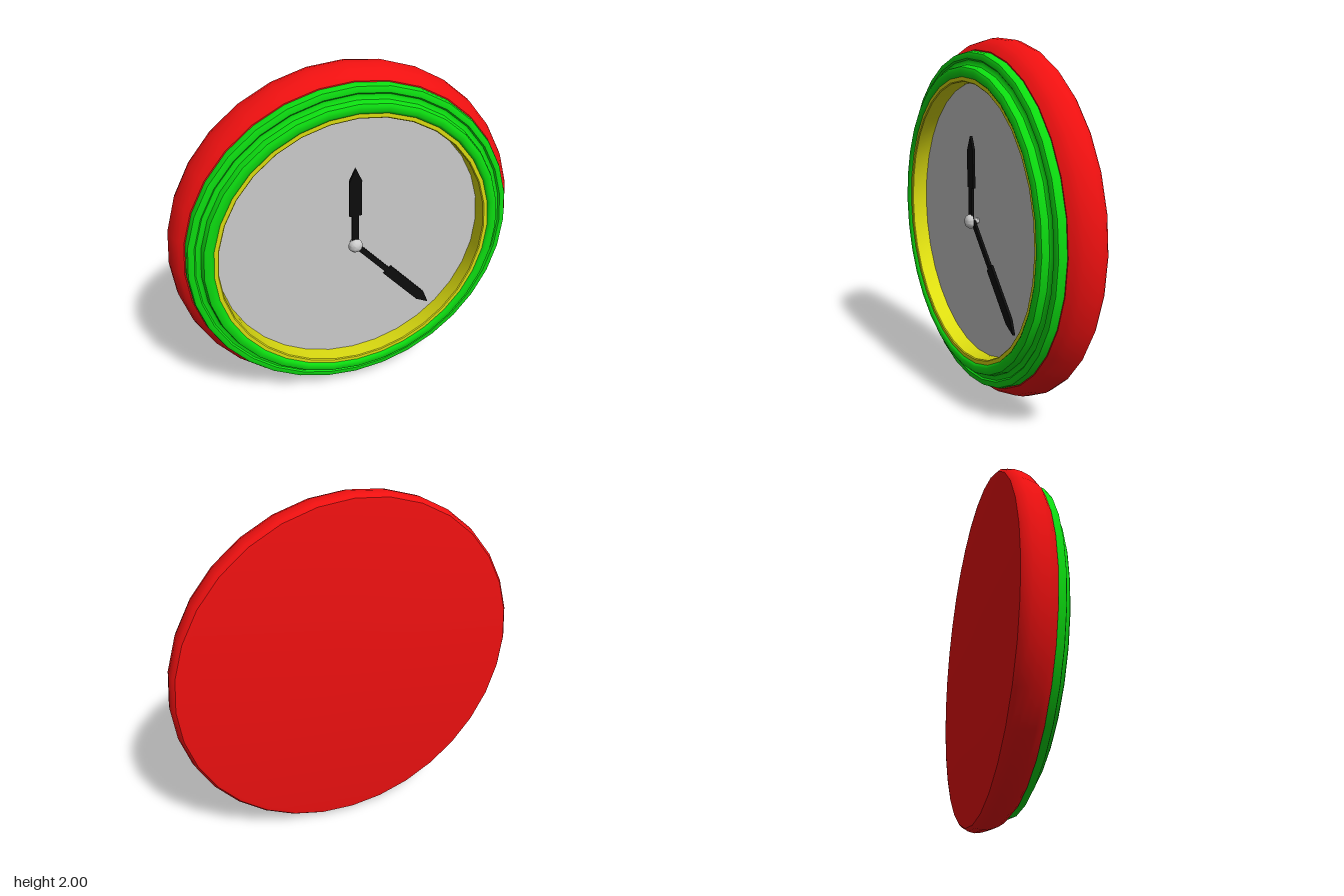
import * as THREE from 'three';
import { toCreasedNormals } from 'three/addons/utils/BufferGeometryUtils.js';

const SEGMENTS = 32;
const material = (color) => new THREE.MeshStandardMaterial({ color, side: THREE.DoubleSide });
const red = material(0xee1010);
const green = material(0x0cdd10);
const yellow = material(0xdddd10);
const black = material(0x0c0c0c);
const grey = material(0xcccccc);

// Turned part about the z axis, from [radius, z] pairs running back to front
function turned(name, profile, mat, crease = 0.6) {
  const points = profile.map(([r, z]) => new THREE.Vector2(r, z));
  const geometry = new THREE.LatheGeometry(points, SEGMENTS).rotateX(Math.PI / 2);
  const mesh = new THREE.Mesh(toCreasedNormals(geometry, crease), mat);
  mesh.name = name;
  return mesh;
}

// Clock hand: thin stem, wider blade and a pointed tip, aimed along +y
function hand(name, bladeStart, bladeEnd, tip, stemHalf, bladeHalf, z) {
  const right = [[stemHalf, 0], [stemHalf, bladeStart], [bladeHalf, bladeStart], [bladeHalf, bladeEnd]];
  const left = right.map(([x, y]) => [-x, y]).reverse();
  const shape = new THREE.Shape([...right, [0, tip], ...left].map(([x, y]) => new THREE.Vector2(x, y)));
  const geometry = new THREE.ExtrudeGeometry(shape, { depth: 0.015, bevelEnabled: false });
  const mesh = new THREE.Mesh(geometry, black);
  mesh.name = name;
  mesh.position.z = z;
  return mesh;
}

export function createModel() {
  const clock = new THREE.Group();
  clock.name = 'wallClock';
  clock.position.y = 1;

  // Rounded case with a nearly flat back
  clock.add(turned('case', [
    [0, -0.145], [0.955, -0.138], [0.978, -0.135], [0.992, -0.12], [1, -0.085],
    [0.995, -0.045], [0.98, 0], [0.96, 0.03], [0.935, 0.052], [0.9, 0.055],
  ], red));

  // Stepped bezel with a shallow groove between its two steps
  clock.add(turned('bezel', [
    [0.93, 0.04], [0.928, 0.08], [0.922, 0.094], [0.908, 0.1], [0.89, 0.1],
    [0.882, 0.092], [0.868, 0.092], [0.856, 0.1], [0.852, 0.122], [0.846, 0.135],
    [0.832, 0.142], [0.808, 0.142], [0.798, 0.136], [0.79, 0.125],
  ], green));

  // Inner ring whose wall drops to the dial
  clock.add(turned('innerRing', [
    [0.795, 0.1], [0.795, 0.13], [0.773, 0.13], [0.768, 0.125], [0.768, 0.03],
  ], yellow));

  // Dial
  const dial = new THREE.Mesh(new THREE.CircleGeometry(0.775, SEGMENTS), grey);
  dial.name = 'dial';
  dial.position.z = 0.035;
  clock.add(dial);

  // Hands
  clock.add(hand('hourHand', 0.19, 0.4, 0.475, 0.019, 0.035, 0.07));
  const minuteHand = hand('minuteHand', 0.3, 0.62, 0.7, 0.016, 0.031, 0.058);
  minuteHand.rotation.z = -Math.PI / 2 - Math.atan2(0.515, 0.475);
  clock.add(minuteHand);

  // Spindle with a domed cap
  clock.add(turned('spindle', [
    [0.015, 0.035], [0.015, 0.08], [0.041, 0.08], [0.039, 0.092], [0.03, 0.106], [0.016, 0.114], [0, 0.117],
  ], grey, 0.9));

  return clock;
}
